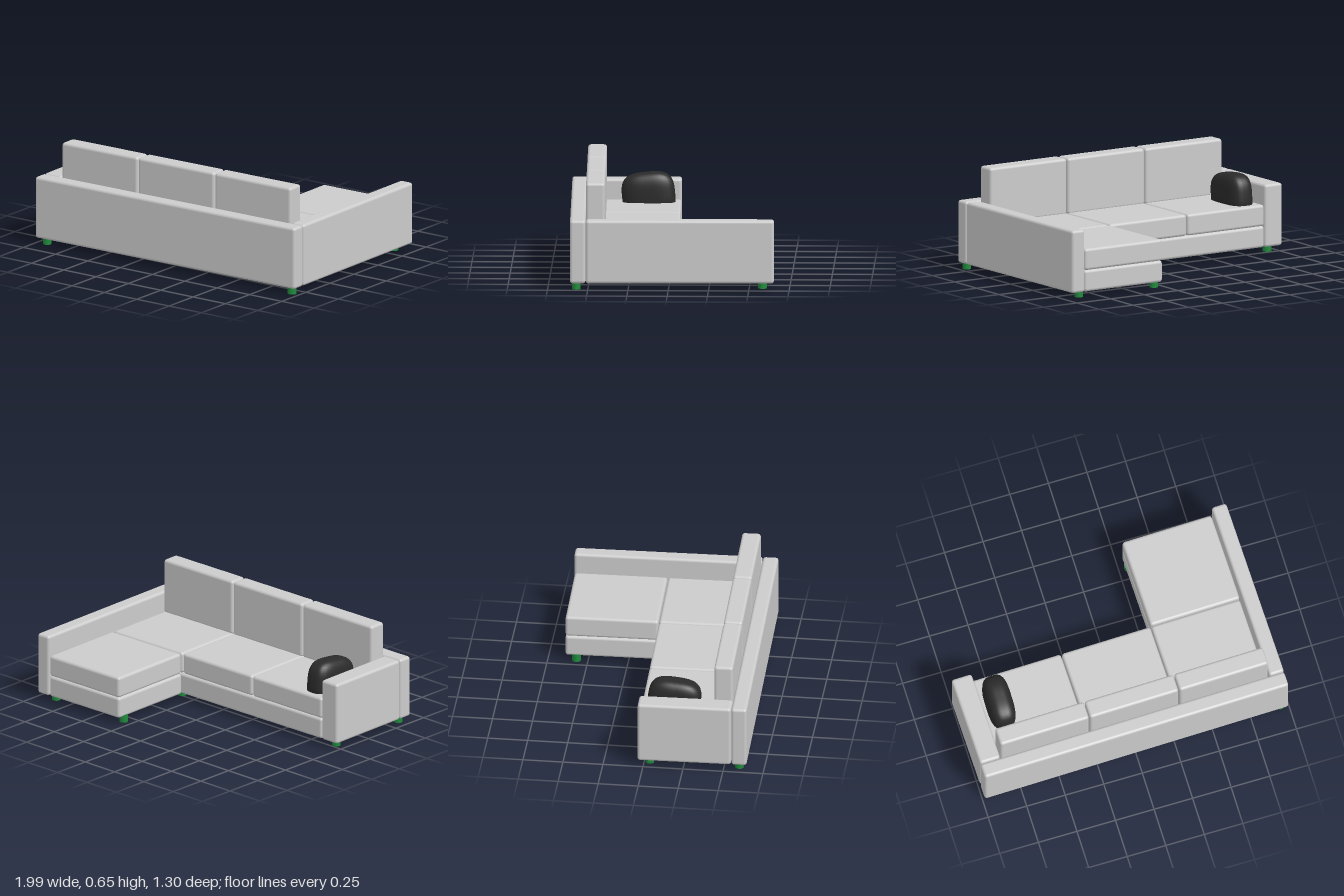
import * as THREE from 'three';
import { RoundedBoxGeometry } from 'three/addons/geometries/RoundedBoxGeometry.js';

const fabric = new THREE.MeshStandardMaterial({ color: 0xcccccc });
const dark = new THREE.MeshStandardMaterial({ color: 0x2a2a2a });
const green = new THREE.MeshStandardMaterial({ color: 0x1f8a3c });

// Soft-edged upholstered block given by its min/max extents
function block(name, [x0, x1], [y0, y1], [z0, z1], r = 0.018) {
  const geo = new RoundedBoxGeometry(x1 - x0, y1 - y0, z1 - z0, 3, r);
  const mesh = new THREE.Mesh(geo, fabric);
  mesh.position.set((x0 + x1) / 2, (y0 + y1) / 2, (z0 + z1) / 2);
  mesh.name = name;
  return mesh;
}

// Sphere pushed out towards a box, giving a plump cushion
function pillowGeometry(w, h, d, n) {
  const geo = new THREE.SphereGeometry(1, 40, 28);
  const pos = geo.attributes.position;
  const v = new THREE.Vector3();
  for (let i = 0; i < pos.count; i++) {
    v.fromBufferAttribute(pos, i);
    const k = (Math.abs(v.x) ** n + Math.abs(v.y) ** n + Math.abs(v.z) ** n) ** (-1 / n);
    v.multiplyScalar(k);
    pos.setXYZ(i, v.x * w / 2, v.y * h / 2, v.z * d / 2);
  }
  geo.computeVertexNormals();
  return geo;
}

export function createModel() {
  const model = new THREE.Group();
  model.name = 'cornerSofa';

  // The upholstery stands turned by about one degree
  const body = new THREE.Group();
  body.name = 'upholstery';
  body.rotation.y = 0.018;
  model.add(body);

  const low = 0.04, armTop = 0.435, baseTop = 0.175, seatTop = 0.31;

  // Back panel and the two arms
  body.add(
    block('backPanel', [-1.0, 0.982], [low, armTop], [0.532, 0.628]),
    block('shortArm', [-1.0, -0.868], [low, armTop], [-0.053, 0.53]),
    block('longArm', [0.887, 0.983], [low, armTop], [-0.638, 0.53])
  );

  // Bases under the bench and the chaise
  body.add(
    block('benchBase', [-0.867, 0.886], [low, baseTop], [-0.05, 0.531]),
    block('chaiseBase', [0.3, 0.886], [low, baseTop], [-0.634, -0.052])
  );

  // Three seats with back cushions
  const pitch = 0.584;
  for (let i = 0; i < 3; i++) {
    const x = [-0.866 + i * pitch, -0.866 + (i + 1) * pitch - 0.006];
    body.add(
      block('seatCushion', x, [baseTop, seatTop], [-0.05, 0.528]),
      block('backCushion', x, [seatTop - 0.01, 0.655], [0.412, 0.529])
    );
  }
  body.add(block('chaiseCushion', [0.302, 0.884], [baseTop, seatTop], [-0.634, -0.055]));

  // Throw pillow settled into the seat beside the short arm
  const pillow = new THREE.Mesh(pillowGeometry(0.165, 0.28, 0.33, 3.2), dark);
  pillow.name = 'throwPillow';
  pillow.position.set(-0.753, 0.355, 0.167);
  pillow.rotation.x = 0.1;
  model.add(pillow);

  // Short round feet
  const footGeo = new THREE.CylinderGeometry(0.027, 0.027, 0.05, 20);
  const feet = [
    [-0.93, 0.595], [-0.93, 0.035], [0.947, 0.572],
    [0.367, 0.015], [0.312, -0.572], [0.877, -0.582]
  ];
  for (const [x, z] of feet) {
    const foot = new THREE.Mesh(footGeo, green);
    foot.name = 'foot';
    foot.position.set(x, 0.025, z);
    model.add(foot);
  }
  return model;
}
